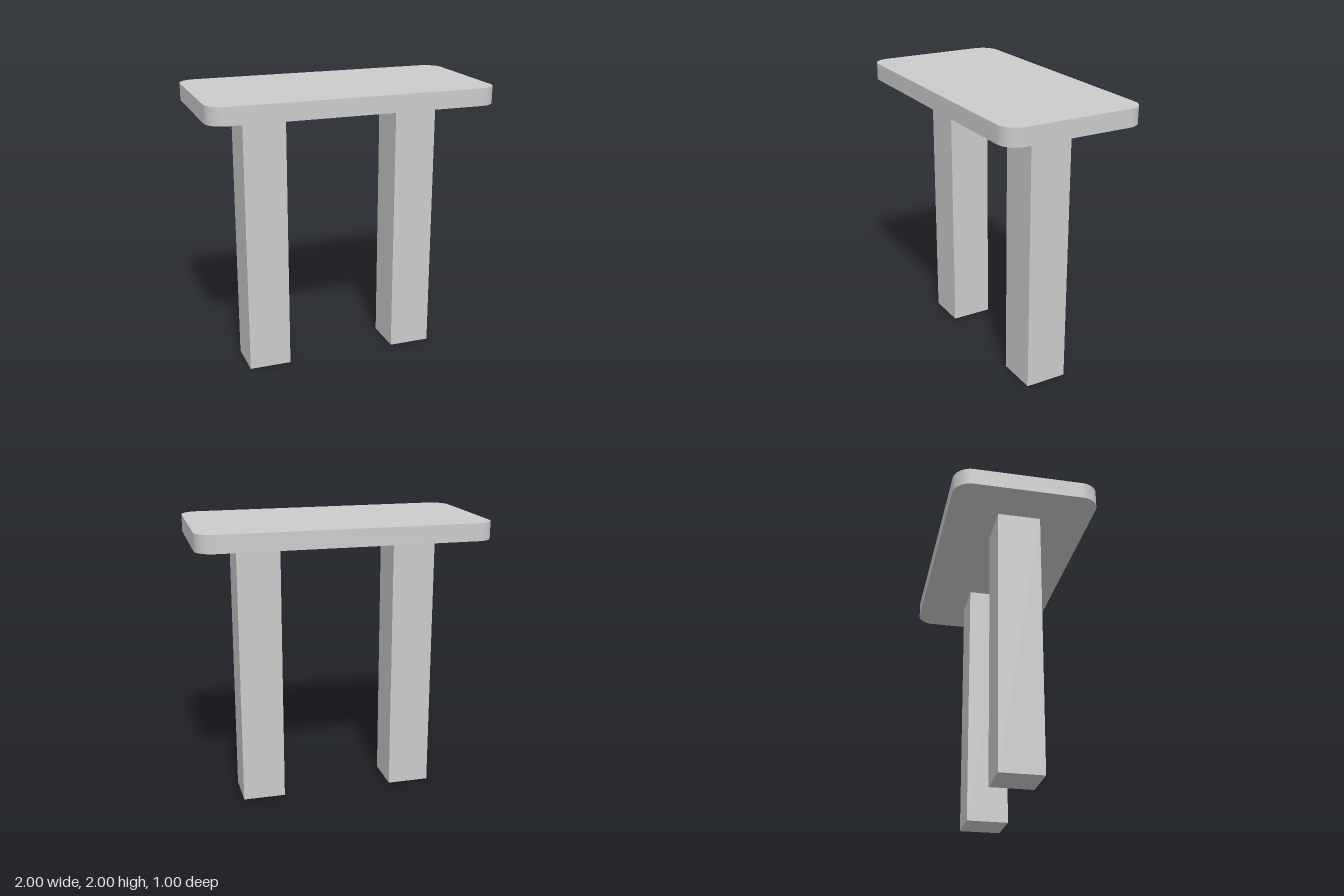
import * as THREE from 'three';
import { toCreasedNormals } from 'three/addons/utils/BufferGeometryUtils.js';

const WIDTH = 2, DEPTH = 1, THICKNESS = 0.12, RADIUS = 0.125;
const LEG_SIZE = 0.3, LEG_HEIGHT = 2 - THICKNESS, LEG_X = 0.55;

// Rectangle with rounded corners, centred on the origin
function roundedRectangle(w, d, r) {
  const x = w / 2 - r, y = d / 2 - r;
  const shape = new THREE.Shape();
  shape.absarc(x, y, r, 0, Math.PI / 2);
  shape.absarc(-x, y, r, Math.PI / 2, Math.PI);
  shape.absarc(-x, -y, r, Math.PI, Math.PI * 1.5);
  shape.absarc(x, -y, r, Math.PI * 1.5, Math.PI * 2);
  shape.closePath();
  return shape;
}

export function createModel() {
  const model = new THREE.Group();
  model.name = 'table';
  const material = new THREE.MeshStandardMaterial({ color: 0xcccccc });

  // Tabletop slab, laid flat on the legs
  const slab = new THREE.ExtrudeGeometry(roundedRectangle(WIDTH, DEPTH, RADIUS), {
    depth: THICKNESS, bevelEnabled: false, curveSegments: 12,
  });
  slab.rotateX(-Math.PI / 2);
  const tabletop = new THREE.Mesh(toCreasedNormals(slab, Math.PI / 6), material);
  tabletop.name = 'tabletop';
  tabletop.position.y = LEG_HEIGHT;
  model.add(tabletop);

  // Two square legs, mirrored across the centre
  const legGeometry = new THREE.BoxGeometry(LEG_SIZE, LEG_HEIGHT, LEG_SIZE);
  for (const side of [-1, 1]) {
    const leg = new THREE.Mesh(legGeometry, material);
    leg.name = side > 0 ? 'leftLeg' : 'rightLeg';
    leg.position.set(side * LEG_X, LEG_HEIGHT / 2, 0);
    model.add(leg);
  }
  return model;
}
